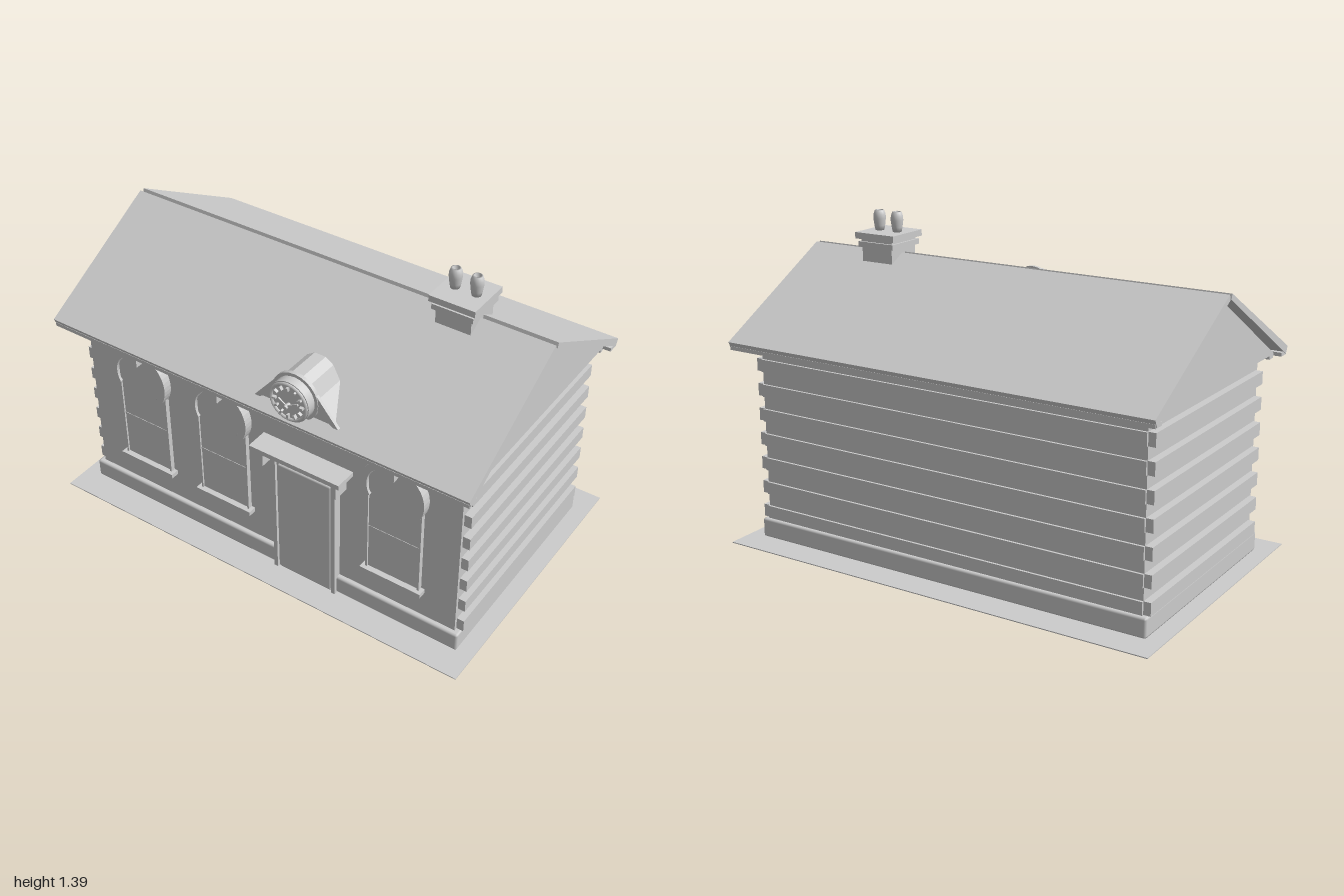
import * as THREE from 'three';
import { RoundedBoxGeometry } from 'three/addons/geometries/RoundedBoxGeometry.js';

export function createModel() {
  const model = new THREE.Group();
  model.name = 'stationHouse';
  const stone = new THREE.MeshStandardMaterial({ color: 0xcccccc });
  stone.name = 'pale grey';

  function add(name, geometry, parent = model) {
    const mesh = new THREE.Mesh(geometry, stone);
    mesh.name = name;
    parent.add(mesh);
    return mesh;
  }
  // box given by its limits on each axis
  function box(name, x0, x1, y0, y1, z0, z1, parent = model) {
    const mesh = add(name, new THREE.BoxGeometry(x1 - x0, y1 - y0, z1 - z0), parent);
    mesh.position.set((x0 + x1) / 2, (y0 + y1) / 2, (z0 + z1) / 2);
    return mesh;
  }
  function extrude(points, depth) {
    const shape = new THREE.Shape(points.map(([x, y]) => new THREE.Vector2(x, y)));
    return new THREE.ExtrudeGeometry(shape, { depth, bevelEnabled: false });
  }
  // cylinder facing the front
  function disc(name, r, depth, z, sides, parent) {
    const g = new THREE.CylinderGeometry(r, r, depth, sides);
    g.rotateX(Math.PI / 2);
    const mesh = add(name, g, parent);
    mesh.position.z = z + depth / 2;
    return mesh;
  }

  // ground, plinth and walls
  box('groundSlab', -1, 1, 0, 0.004, -0.627, 0.627);
  const plinth = add('plinth', new RoundedBoxGeometry(1.86, 0.085, 1.012, 1, 0.01));
  plinth.position.y = 0.0475;
  box('walls', -0.906, 0.906, 0.05, 0.86, -0.484, 0.484);

  // raised stone courses on the ends and back
  const course = 0.0546;
  for (let i = 0; i < 7; i++) {
    const y = 0.092 + i * 2 * course;
    for (const s of [-1, 1]) {
      box('endCourse', s * 0.92 - 0.017, s * 0.92 + 0.017, y, y + course, -0.484, 0.47);
    }
    box('backCourse', -0.906, 0.906, y, y + course, -0.494, -0.48);
  }

  // gabled loft
  const gable = add('gable', extrude([[-0.55, 0.86], [0.55, 0.86], [0, 1.19]], 1.9));
  gable.rotation.y = Math.PI / 2;
  gable.position.x = -0.95;

  // roof slopes and eaves
  const slope = extrude([[0.011, 1.218], [0.004, 1.196], [0.583, 0.858], [0.597, 0.888]], 1.975);
  for (const s of [-1, 1]) {
    const roof = add(s > 0 ? 'frontRoof' : 'backRoof', slope);
    roof.rotation.y = -s * Math.PI / 2;
    roof.position.x = s * 0.9875;
    const a = s * 0.565, b = s * 0.53;
    box('eaveBoard', -0.985, 0.985, 0.854, 0.87, a - 0.025, a + 0.025);
    box('cornice', -0.95, 0.95, 0.845, 0.862, b - 0.03, b + 0.01);
  }

  // chimney with two pots
  const chimney = new THREE.Group();
  chimney.name = 'chimney';
  chimney.position.x = 0.597;
  model.add(chimney);
  for (const [hx, hz, y0, y1] of [
    [0.077, 0.083, 1.13, 1.24], [0.09, 0.095, 1.24, 1.263],
    [0.08, 0.085, 1.263, 1.275], [0.1, 0.102, 1.275, 1.302]]) {
    box('chimneyCourse', -hx, hx, y0, y1, -hz, hz, chimney);
  }
  const potProfile = [[0, 0], [0.019, 0], [0.023, 0.02], [0.027, 0.05], [0.026, 0.068],
    [0.02, 0.085], [0.014, 0.087], [0.012, 0.06], [0, 0.06]];
  const potGeometry = new THREE.LatheGeometry(potProfile.map(([r, y]) => new THREE.Vector2(r, y)), 16);
  for (const x of [-0.046, 0.046]) {
    add('chimneyPot', potGeometry, chimney).position.set(x, 1.302, 0);
  }

  // clock dormer
  const dormer = new THREE.Group();
  dormer.name = 'clockDormer';
  dormer.position.set(0.211, 0.993, 0);
  model.add(dormer);
  const half = [[0.18, -0.085], [0.09, 0.01], [0.06, 0.07], [0.025, 0.093]];
  const body = [...half, ...half.map(([x, y]) => [-x, y]).reverse()];
  add('dormerBody', extrude(body, 0.15), dormer).position.z = 0.395;
  const front = add('dormerFront', extrude([[-0.192, -0.075], [-0.17, -0.075], [-0.08, -0.02],
    [0.08, -0.02], [0.17, -0.075], [0.192, -0.075], [0.08, 0.058], [-0.08, 0.058]], 0.014), dormer);
  front.position.z = 0.543;
  disc('clockBack', 0.104, 0.016, 0.544, 24, dormer);
  disc('clockCase', 0.09, 0.038, 0.56, 24, dormer);
  const rim = add('clockRim', new THREE.TorusGeometry(0.08, 0.007, 6, 24), dormer);
  rim.position.z = 0.6;
  for (let i = 0; i < 12; i++) {
    const a = i * Math.PI / 6;
    const mark = add('hourMark', new THREE.BoxGeometry(0.008, 0.016, 0.016), dormer);
    mark.position.set(Math.sin(a) * 0.062, Math.cos(a) * 0.062, 0.604);
    mark.rotation.z = -a;
  }
  for (const [length, angle] of [[0.06, 1.05], [0.045, -1.0]]) {
    const hand = new THREE.BoxGeometry(0.008, length, 0.006);
    hand.translate(0, length / 2, 0);
    const mesh = add('clockHand', hand, dormer);
    mesh.position.set(0, -0.012, 0.614);
    mesh.rotation.z = -angle;
  }
  disc('clockHub', 0.009, 0.03, 0.596, 10, dormer).position.y = -0.012;

  // arched windows
  const archShape = new THREE.Shape();
  archShape.absarc(0, 0, 0.142, -0.5, Math.PI + 0.5, false);
  archShape.absarc(0, 0, 0.113, Math.PI + 0.5, -0.5, true);
  const arch = new THREE.ExtrudeGeometry(archShape, { depth: 0.04, bevelEnabled: false, curveSegments: 14 });
  for (const x of [-0.617, -0.203, 0.623]) {
    const win = new THREE.Group();
    win.name = 'window';
    win.position.set(x, 0.69, 0);
    model.add(win);
    add('windowArch', arch, win).position.z = 0.484;
    disc('roundPane', 0.115, 0.032, 0.48, 10, win);
    box('lowerPane', -0.12, 0.12, -0.46, -0.05, 0.48, 0.497, win);
    for (const s of [-1, 1]) {
      box('windowJamb', s * 0.12 - 0.004, s * 0.12 + 0.004, -0.46, -0.07, 0.48, 0.505, win);
    }
    box('transom', -0.12, 0.12, -0.245, -0.239, 0.48, 0.499, win);
    box('windowSill', -0.14, 0.14, -0.475, -0.455, 0.48, 0.522, win);
    box('keystone', -0.02, 0.02, 0.082, 0.152, 0.48, 0.545, win);
  }

  // doorway with hood
  const door = new THREE.Group();
  door.name = 'doorway';
  door.position.x = 0.211;
  model.add(door);
  box('doorFrame', -0.152, 0.152, 0.005, 0.645, 0.48, 0.509, door);
  const panel = add('doorPanel', new RoundedBoxGeometry(0.256, 0.565, 0.03, 1, 0.008), door);
  panel.position.set(0, 0.288, 0.501);
  for (const s of [-1, 1]) {
    box('doorPost', s * 0.143 - 0.009, s * 0.143 + 0.009, 0.005, 0.645, 0.48, 0.522, door);
    box('hoodBracket', s * 0.174 - 0.009, s * 0.174 + 0.009, 0.57, 0.645, 0.48, 0.56, door);
  }
  box('doorHood', -0.2, 0.2, 0.64, 0.652, 0.48, 0.565, door);
  box('hoodTop', -0.212, 0.212, 0.65, 0.671, 0.48, 0.583, door);

  return model;
}
